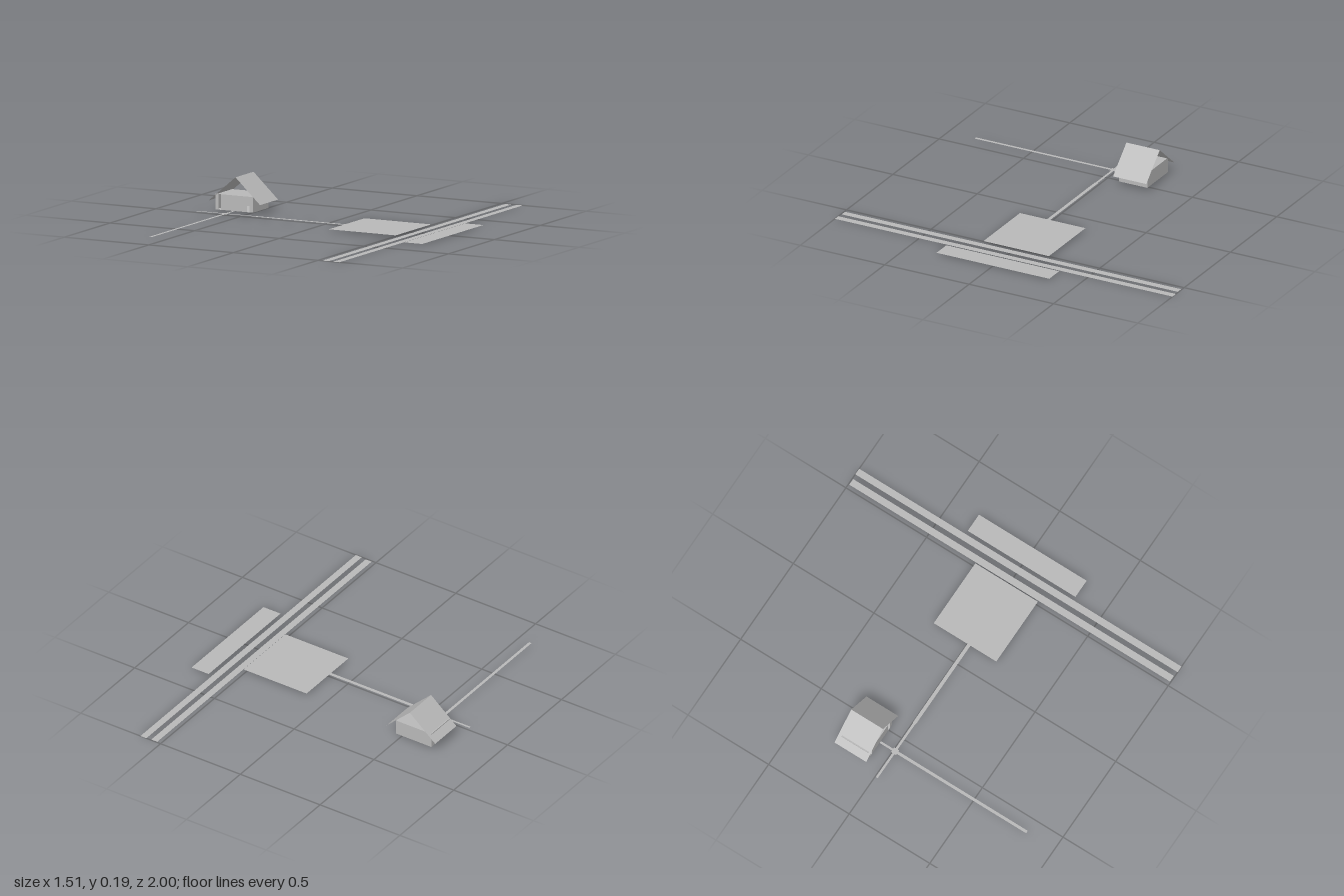
import * as THREE from 'three';

export function createModel() {
  const model = new THREE.Group();
  const grey = new THREE.MeshStandardMaterial({ color: 0xb8b8b8, side: THREE.DoubleSide });
  grey.name = 'plain grey';

  const add = (name, geometry, parent = model) => {
    const mesh = new THREE.Mesh(geometry, grey);
    mesh.name = name;
    parent.add(mesh);
    return mesh;
  };

  // Horizontal sheet between two x and two z values
  const sheet = (name, x0, x1, z0, z1, y, parent) => {
    const g = new THREE.PlaneGeometry(x1 - x0, z1 - z0).rotateX(-Math.PI / 2);
    return add(name, g.translate((x0 + x1) / 2, y, (z0 + z1) / 2), parent);
  };

  // Upright sheet facing the front
  const frontSheet = (name, x0, x1, y0, y1, z, parent) => {
    const g = new THREE.PlaneGeometry(x1 - x0, y1 - y0);
    return add(name, g.translate((x0 + x1) / 2, (y0 + y1) / 2, z), parent);
  };

  // Ground: two long lanes, forecourt, side platform
  sheet('innerLane', 0.524, 0.561, -0.995, 0.995, 0);
  sheet('outerLane', 0.589, 0.626, -1, 1, 0);
  sheet('forecourt', 0.12, 0.515, -0.207, 0.181, 0.01);
  sheet('sidePlatform', 0.645, 0.752, -0.339, 0.329, 0.006);

  // Footpaths meeting at a small crossing
  sheet('crossPathWide', -0.4, 0.12, 0.002, 0.021, 0.01);
  sheet('crossPathMiddle', -0.567, -0.4, 0.005, 0.018, 0.01);
  sheet('crossPathEnd', -0.757, -0.598, 0.006, 0.018, 0.01);
  sheet('pathCrossing', -0.598, -0.567, -0.003, 0.028, 0.01);
  sheet('frontPath', -0.59, -0.574, 0.028, 0.83, 0.01);
  sheet('doorPath', -0.588, -0.576, -0.08, -0.003, 0.01);

  // House: floor, ceiling and walls
  const house = new THREE.Group();
  house.name = 'house';
  model.add(house);
  const [left, right, back, front, base, top] = [-0.691, -0.47, -0.25, -0.081, 0.01, 0.092];
  sheet('floor', left, right, back, front, base, house);
  sheet('ceiling', left, right, back, front, top, house);
  frontSheet('backWall', left, right, base, top, back, house);
  for (const x of [left, right]) {
    const g = new THREE.PlaneGeometry(front - back, top - base).rotateY(Math.PI / 2);
    add('sideWall', g.translate(x, (base + top) / 2, (front + back) / 2), house);
  }

  // Front wall panels with a narrow slot beside each corner post
  frontSheet('cornerPost', left, -0.675, base, top, front, house);
  frontSheet('frontWall', -0.659, -0.603, base, top, front, house);
  frontSheet('door', -0.603, -0.5625, base, top, front, house);
  frontSheet('frontWall', -0.5625, -0.506, base, top, front, house);
  frontSheet('cornerPost', -0.49, right, base, top, front, house);

  // Thin gable roof, open at both ends
  const slope = (name, x0, y0, x1, y1) => {
    const g = new THREE.PlaneGeometry(Math.hypot(x1 - x0, y1 - y0), 0.197).rotateX(-Math.PI / 2);
    g.rotateZ(Math.atan2(y1 - y0, x1 - x0));
    add(name, g.translate((x0 + x1) / 2, (y0 + y1) / 2, -0.1705), house);
  };
  slope('leftRoof', -0.728, 0.055, -0.569, 0.19);
  slope('rightRoof', -0.569, 0.19, -0.424, 0.055);

  return model;
}
